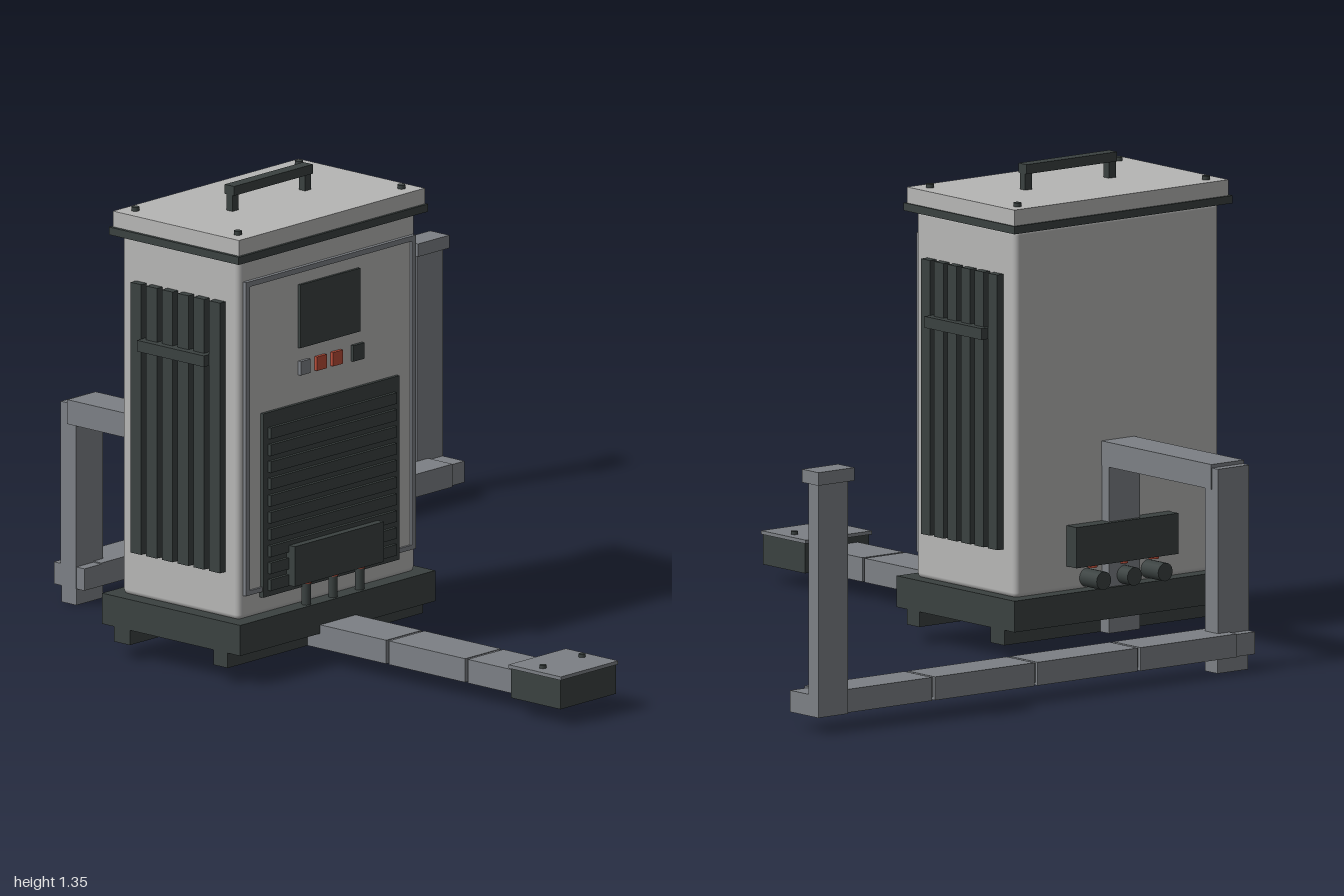
import * as THREE from 'three';
import { RoundedBoxGeometry } from 'three/addons/geometries/RoundedBoxGeometry.js';

export function createModel() {
  const root = new THREE.Group();
  const material = (name, color) => {
    const m = new THREE.MeshStandardMaterial({ color });
    m.name = name;
    return m;
  };
  const light = material('light grey casing', 0xb6b6b5);
  const dark = material('charcoal', 0x3a4140);
  const steel = material('steel grey', 0x7c8085);
  const red = material('button red', 0xb84c38);

  const add = (name, geometry, mat) => {
    const mesh = new THREE.Mesh(geometry, mat);
    mesh.name = name;
    root.add(mesh);
    return mesh;
  };
  // box given by its limits along each axis
  const box = (name, mat, x0, x1, y0, y1, z0, z1, radius = 0) => {
    const size = [x1 - x0, y1 - y0, z1 - z0];
    const g = radius ? new RoundedBoxGeometry(...size, 2, radius) : new THREE.BoxGeometry(...size);
    const mesh = add(name, g, mat);
    mesh.position.set((x0 + x1) / 2, (y0 + y1) / 2, (z0 + z1) / 2);
    return mesh;
  };
  const cyl = (name, mat, r, h, x, y, z, alongZ = false) => {
    const mesh = add(name, new THREE.CylinderGeometry(r, r, h, 16), mat);
    mesh.position.set(x, y, z);
    if (alongZ) mesh.rotation.x = Math.PI / 2;
    return mesh;
  };
  const CX = -0.565;

  // cabinet, base and lid
  box('cabinet', light, -0.93, -0.2, 0.175, 1.215, -0.426, 0.013, 0.015);
  box('base', dark, -0.97, -0.165, 0.09, 0.178, -0.465, 0.055);
  box('frontRunner', dark, -0.97, -0.165, 0.047, 0.09, -0.045, 0.008);
  box('rearRunner', dark, -0.97, -0.165, 0.047, 0.09, -0.42, -0.36);
  box('lidSeal', dark, -0.96, -0.178, 1.21, 1.232, -0.448, 0.04);
  box('lid', light, -0.95, -0.183, 1.232, 1.277, -0.442, 0.032);
  for (const x of [-0.903, -0.228]) {
    for (const z of [-0.4, -0.015]) cyl('lidScrew', dark, 0.011, 0.014, x, 1.281, z);
  }

  // carrying handle
  box('handleBar', dark, -0.73, -0.405, 1.323, 1.35, -0.222, -0.187);
  for (const x of [-0.73, -0.43]) box('handlePost', dark, x, x + 0.025, 1.277, 1.325, -0.216, -0.193);

  // raised frame around the front panel
  const rect = (path, x0, x1, y0, y1) => {
    path.moveTo(x0, y0);
    path.lineTo(x1, y0);
    path.lineTo(x1, y1);
    path.lineTo(x0, y1);
    path.closePath();
    return path;
  };
  const frame = rect(new THREE.Shape(), -0.913, -0.212, 0.245, 1.147);
  frame.holes.push(rect(new THREE.Path(), -0.897, -0.228, 0.258, 1.132));
  add('panelFrame', new THREE.ExtrudeGeometry(frame, { depth: 0.014, bevelEnabled: false }), steel)
    .position.z = 0.011;
  box('frontPanel', light, -0.9, -0.225, 0.255, 1.135, 0.01, 0.018);

  // screen and buttons
  box('screen', dark, -0.69, -0.442, 0.915, 1.097, 0.015, 0.026);
  [[-0.67, steel, 0.02], [-0.603, red, 0.02], [-0.537, red, 0.02], [-0.45, dark, 0.023]]
    .forEach(([x, mat, r]) => box('button', mat, x - r, x + r, 0.857 - r, 0.857 + r, 0.015, 0.028));

  // front grille with slats
  box('grille', dark, -0.845, -0.284, 0.228, 0.757, 0.012, 0.028);
  for (let i = 0; i < 10; i++) {
    const y = 0.698 - i * 0.0485;
    box('grilleSlat', dark, -0.825, -0.305, y - 0.016, y + 0.016, 0.026, 0.038);
  }

  // terminal boxes, cables in front and sockets behind
  box('frontTerminalBox', dark, -0.75, -0.383, 0.247, 0.362, 0.013, 0.06);
  box('rearTerminalBox', dark, -0.748, -0.383, 0.247, 0.362, -0.47, -0.42);
  for (const dx of [-0.11, 0, 0.11]) {
    cyl('frontCable', dark, 0.013, 0.09, CX + dx, 0.21, 0.035);
    cyl('cableCollar', red, 0.015, 0.008, CX + dx, 0.244, 0.035);
    cyl('rearSocket', dark, 0.026, 0.08, CX + dx, 0.208, -0.462, true);
    cyl('socketCollar', red, 0.015, 0.008, CX + dx, 0.244, -0.45);
  }

  // side vents: six fins and a cross bar on each side
  for (const s of [-1, 1]) {
    const side = (name, d0, d1, ...rest) => {
      const a = CX + s * d0, b = CX + s * d1;
      box(name, dark, Math.min(a, b), Math.max(a, b), ...rest);
    };
    for (let i = 0; i < 6; i++) {
      const z = -0.057 - i * 0.0592;
      side('ventFin', 0.36, 0.388, 0.308, 1.085, z - 0.02, z + 0.02);
    }
    side('ventBar', 0.36, 0.409, 0.898, 0.93, -0.33, -0.078);
  }

  // front floor duct in segments joined by a slimmer core
  box('frontDuctCore', steel, -0.63, -0.503, 0.055, 0.113, -0.02, 0.81);
  for (const [a, b] of [[0, 0.303], [0.313, 0.6], [0.61, 0.81]]) {
    box('frontDuct', steel, -0.64, -0.493, 0.047, 0.115, a, b);
  }
  box('frontOutlet', dark, -0.68, -0.45, 0.048, 0.135, 0.81, 0.995);
  box('frontOutletCover', steel, -0.684, -0.447, 0.133, 0.143, 0.803, 1);
  for (const x of [-0.645, -0.483]) cyl('outletScrew', dark, 0.01, 0.012, x, 0.146, 0.897);

  // rear duct: up the back, over, then down to the floor
  box('rearRiser', steel, -0.622, -0.51, 0.047, 0.585, -0.456, -0.42);
  box('rearArm', steel, -0.625, -0.508, 0.517, 0.587, -0.91, -0.426);
  box('rearDrop', steel, -0.622, -0.51, 0.047, 0.577, -0.937, -0.88);
  box('rearFoot', steel, -0.62, -0.51, 0, 0.05, -0.935, -0.88);
  box('rearCorner', steel, -0.62, -0.51, 0.047, 0.11, -0.965, -0.85);

  // rear floor duct in segments
  box('rearDuctCore', steel, -0.55, 0.9, 0.055, 0.11, -0.962, -0.858);
  [-0.55, -0.193, 0.175, 0.542].forEach((x, i, all) => {
    const end = i < 3 ? all[i + 1] - 0.011 : 0.9;
    box('rearDuct', steel, x, end, 0.047, 0.113, -0.972, -0.85);
  });
  box('postFoot', steel, 0.89, 0.96, 0.047, 0.108, -0.985, -0.86);
  box('endPost', steel, 0.853, 0.96, 0.047, 0.71, -0.985, -0.942);
  box('endPostCap', steel, 0.843, 0.972, 0.706, 0.743, -1, -0.928);

  return root;
}
